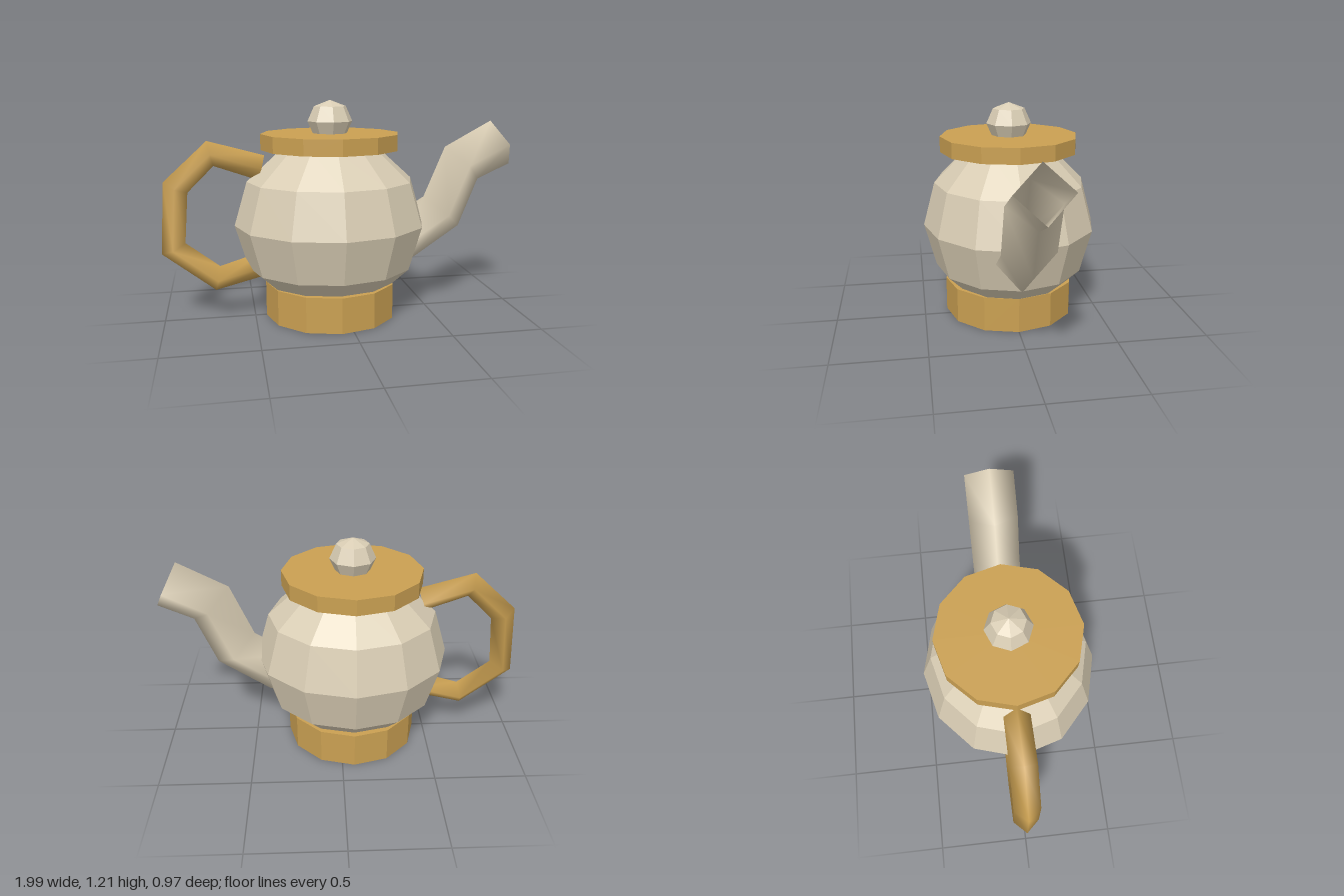
import * as THREE from 'three';

const cream = new THREE.MeshStandardMaterial({ color: 0xd9cdb4, side: THREE.DoubleSide });
cream.name = 'cream';
const gold = new THREE.MeshStandardMaterial({ color: 0xcaa052, side: THREE.DoubleSide });
gold.name = 'gold';

const CENTER_X = -0.067; // axis of the pot

// faceted copy of a geometry
function faceted(geometry) {
  const flat = geometry.toNonIndexed();
  flat.computeVertexNormals();
  return flat;
}

// open, smooth-shaded tube with mitred joints along a path in the z = 0 plane
function bentTube(path, radius, sides = 4) {
  const pts = path.map(([x, y]) => new THREE.Vector3(x, y, 0));
  const dirs = pts.slice(1).map((p, i) => p.clone().sub(pts[i]).normalize());
  const positions = [], indices = [];
  pts.forEach((p, i) => {
    const before = dirs[Math.max(i - 1, 0)];
    const after = dirs[Math.min(i, dirs.length - 1)];
    const t = before.clone().add(after).normalize();
    for (let j = 0; j < sides; j++) {
      const a = (j / sides) * Math.PI * 2;
      const c = Math.cos(a) * radius;
      positions.push(p.x - t.y * c, p.y + t.x * c, Math.sin(a) * radius);
      if (i < pts.length - 1) {
        const k = (j + 1) % sides;
        const p0 = i * sides + j, p1 = i * sides + k;
        indices.push(p0, p1, p0 + sides, p1, p1 + sides, p0 + sides);
      }
    }
  });
  const geometry = new THREE.BufferGeometry();
  geometry.setAttribute('position', new THREE.Float32BufferAttribute(positions, 3));
  geometry.setIndex(indices);
  geometry.computeVertexNormals();
  return geometry;
}

export function createModel() {
  const group = new THREE.Group();
  group.name = 'teapot';

  const add = (name, geometry, material, x = 0, y = 0) => {
    const mesh = new THREE.Mesh(geometry, material);
    mesh.name = name;
    mesh.position.set(x, y, 0);
    group.add(mesh);
  };

  // foot and lid: twelve-sided discs
  add('base', faceted(new THREE.CylinderGeometry(0.37, 0.37, 0.197, 12)), gold, CENTER_X, 0.0985);
  add('lid', faceted(new THREE.CylinderGeometry(0.384, 0.384, 0.087, 12)), gold, CENTER_X, 0.9865);

  // belly, slightly stretched sideways
  const belly = new THREE.SphereGeometry(0.487, 12, 6).scale(1.1, 1, 1);
  add('body', faceted(belly), cream, CENTER_X, 0.527);

  // lid knob, slightly squashed
  const knob = new THREE.SphereGeometry(0.125, 8, 4).scale(1, 0.92, 1);
  add('knob', faceted(knob), cream, CENTER_X, 1.095);

  // spout on the left side, open at the tip
  add('spout', bentTube([[0.33, 0.4], [0.587, 0.565], [0.703, 0.845], [0.933, 0.96]], 0.14), cream);

  // handle on the right side
  add('handle', bentTube([
    [-0.452, 0.847], [-0.722, 0.93], [-0.912, 0.75],
    [-0.935, 0.412], [-0.702, 0.232], [-0.42, 0.31],
  ], 0.07), gold);

  return group;
}
